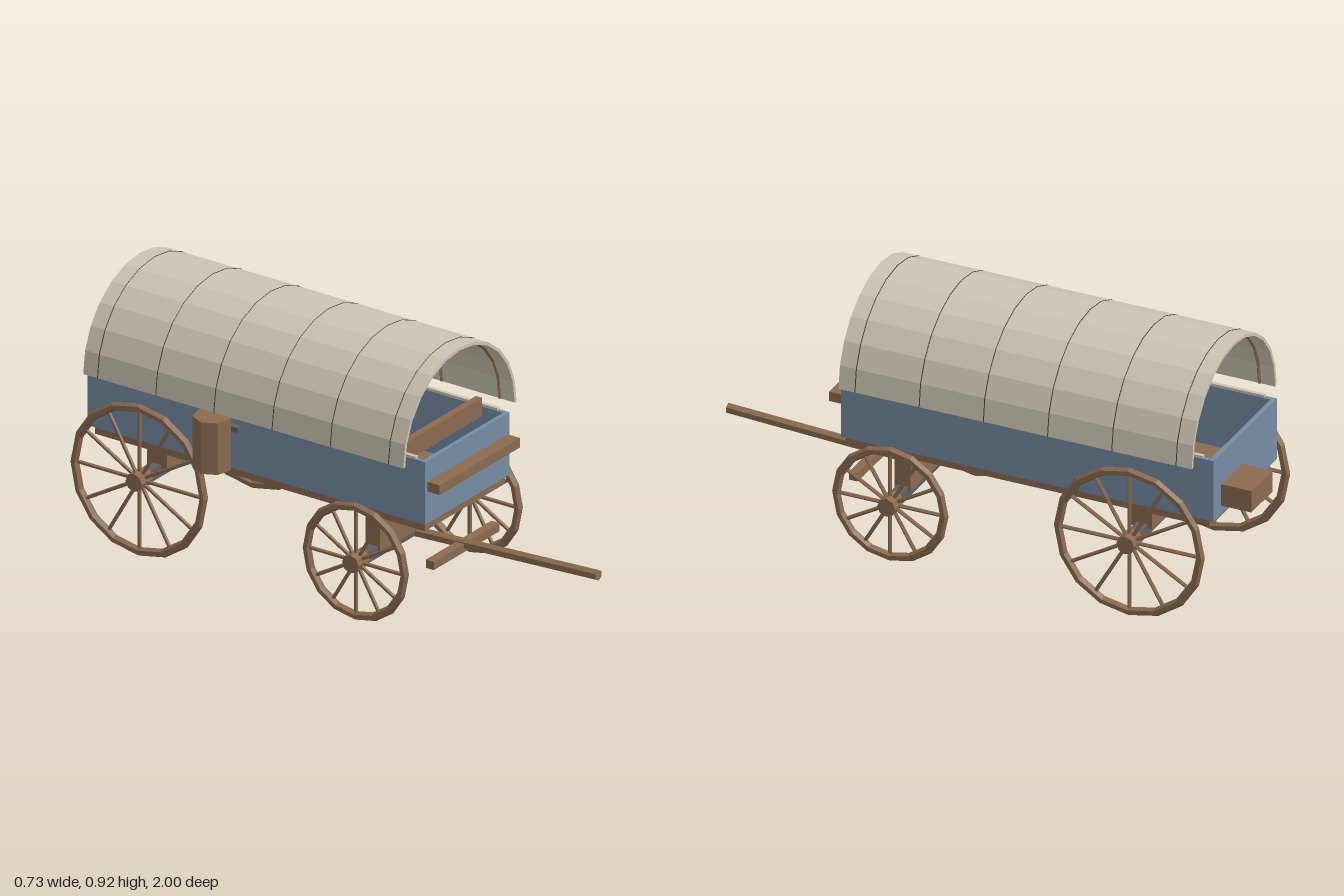
import * as THREE from 'three';

const flat = (name, color) => {
  const m = new THREE.MeshStandardMaterial({ color, flatShading: true });
  m.name = name;
  return m;
};

export function createModel() {
  const wood = flat('wood', 0x8b6b50);
  const paint = flat('bluePaint', 0x768ca4);
  const cloth = flat('canvas', 0xcdc5b3);
  const iron = flat('iron', 0x5f6064);
  const seam = flat('darkSeam', 0x4a3b2e);

  const model = new THREE.Group();
  model.name = 'coveredWagon';
  const wagon = new THREE.Group();
  wagon.name = 'wagon';
  wagon.position.x = 0.0075;
  model.add(wagon);

  const add = (name, geometry, material, x, y, z, parent = wagon) => {
    const mesh = new THREE.Mesh(geometry, material);
    mesh.name = name;
    mesh.position.set(x, y, z);
    parent.add(mesh);
    return mesh;
  };
  // Box given by its width and its y and z ranges
  const box = (name, material, x, w, y0, y1, z0, z1) =>
    add(name, new THREE.BoxGeometry(w, y1 - y0, z1 - z0), material, x, (y0 + y1) / 2, (z0 + z1) / 2);

  // Wagon bed
  box('floor', wood, 0, 0.458, 0.343, 0.378, -0.87, 0.46);
  for (const s of [-1, 1]) {
    box('sideWall', paint, s * 0.2335, 0.016, 0.373, 0.6, -0.89, 0.47);
    box('canvasRail', cloth, s * 0.2335, 0.014, 0.6, 0.609, -0.85, 0.43);
  }
  box('frontWall', paint, 0, 0.451, 0.373, 0.6, 0.454, 0.47);
  box('backWall', paint, 0, 0.451, 0.373, 0.6, -0.89, -0.874);
  box('footBoard', wood, 0, 0.458, 0.49, 0.525, 0.47, 0.52);
  box('seatBoard', wood, 0, 0.45, 0.565, 0.632, 0.345, 0.37);
  box('toolBox', wood, 0.1025, 0.16, 0.405, 0.485, -1, -0.89);

  // Water barrel hung on the right wall
  add('barrel', new THREE.CylinderGeometry(0.066, 0.066, 0.187, 7, 1, false, -Math.PI / 2),
    wood, -0.3085, 0.4865, -0.34);
  box('barrelBracket', iron, -0.252, 0.026, 0.518, 0.536, -0.4, -0.27);

  // Running gear
  box('frontBolster', wood, 0, 0.458, 0.22, 0.343, 0.222, 0.28);
  box('rearBolster', wood, 0, 0.458, 0.285, 0.343, -0.66, -0.58);
  box('reachBeam', wood, 0, 0.06, 0.232, 0.266, -0.64, 0.25);
  box('frontAxle', iron, 0, 0.62, 0.196, 0.237, 0.23, 0.27);
  box('rearAxle', iron, 0, 0.62, 0.258, 0.3, -0.643, -0.603);
  box('crossBar', wood, 0, 0.375, 0.188, 0.218, 0.435, 0.467);
  const tongue = add('tongue', new THREE.CylinderGeometry(0.019, 0.019, 0.75, 6), wood, 0, 0.222, 0.624);
  tongue.rotation.x = Math.PI / 2 - 0.05;

  // Spoked wheels, built in the xy plane and turned to face sideways
  const wheel = (name, x, y, z, radius) => {
    const g = new THREE.Group();
    g.name = name;
    g.position.set(x, y, z);
    g.rotation.y = Math.PI / 2;
    wagon.add(g);
    const tube = 0.0155;
    add('rim', new THREE.TorusGeometry(radius - tube, tube, 6, 16), wood, 0, 0, 0, g);
    const tyre = new THREE.CylinderGeometry(radius - 0.002, radius - 0.002, 0.012, 16, 1);
    // Thin iron band standing clear of the rim ridge
    const band = new THREE.TorusGeometry(radius - 0.0075, 0.0075, 4, 16);
    tyre.dispose();
    add('tyre', band, iron, 0, 0, 0, g);
    add('hub', new THREE.CylinderGeometry(0.033, 0.033, 0.064, 8), wood, 0, 0, 0, g).rotation.x = Math.PI / 2;
    const length = radius - 0.03;
    for (let i = 0; i < 12; i++) {
      const a = (i / 12) * Math.PI * 2;
      const r = 0.015 + length / 2;
      const spoke = add('spoke', new THREE.CylinderGeometry(0.007, 0.007, length, 5), wood,
        Math.cos(a) * r, Math.sin(a) * r, 0, g);
      spoke.rotation.z = a - Math.PI / 2;
    }
  };
  for (const s of [-1, 1]) {
    const side = s > 0 ? 'left' : 'right';
    wheel(side + 'FrontWheel', s * 0.325, 0.2155, 0.25, 0.2125);
    wheel(side + 'RearWheel', s * 0.325, 0.2785, -0.623, 0.2755);
  }

  // Canvas cover: a twelve-sided half ring drawn along the wagon
  const arc = (r) => Array.from({ length: 13 }, (_, i) => {
    const a = (i / 12) * Math.PI;
    return new THREE.Vector2(Math.cos(a) * r, Math.sin(a) * r * 0.984);
  });
  const section = new THREE.Shape([...arc(0.3235), ...arc(0.3125).reverse()]);
  add('canvasCover', new THREE.ExtrudeGeometry(section, { depth: 1.29, bevelEnabled: false }),
    cloth, 0, 0.6, -0.85);

  // Hoops under the cover, with their ridges showing as seams
  for (let i = 0; i < 6; i++) {
    const z = 0.38 - i * 0.2345;
    const hoop = add('hoop', new THREE.TorusGeometry(0.315, 0.0085, 4, 12, Math.PI), wood, 0, 0.6, z);
    hoop.scale.y = 0.984;
    const line = add('seam', new THREE.TorusGeometry(0.3225, 0.0028, 4, 12, Math.PI), seam, 0, 0.6, z);
    line.scale.y = 0.984;
  }

  return model;
}
